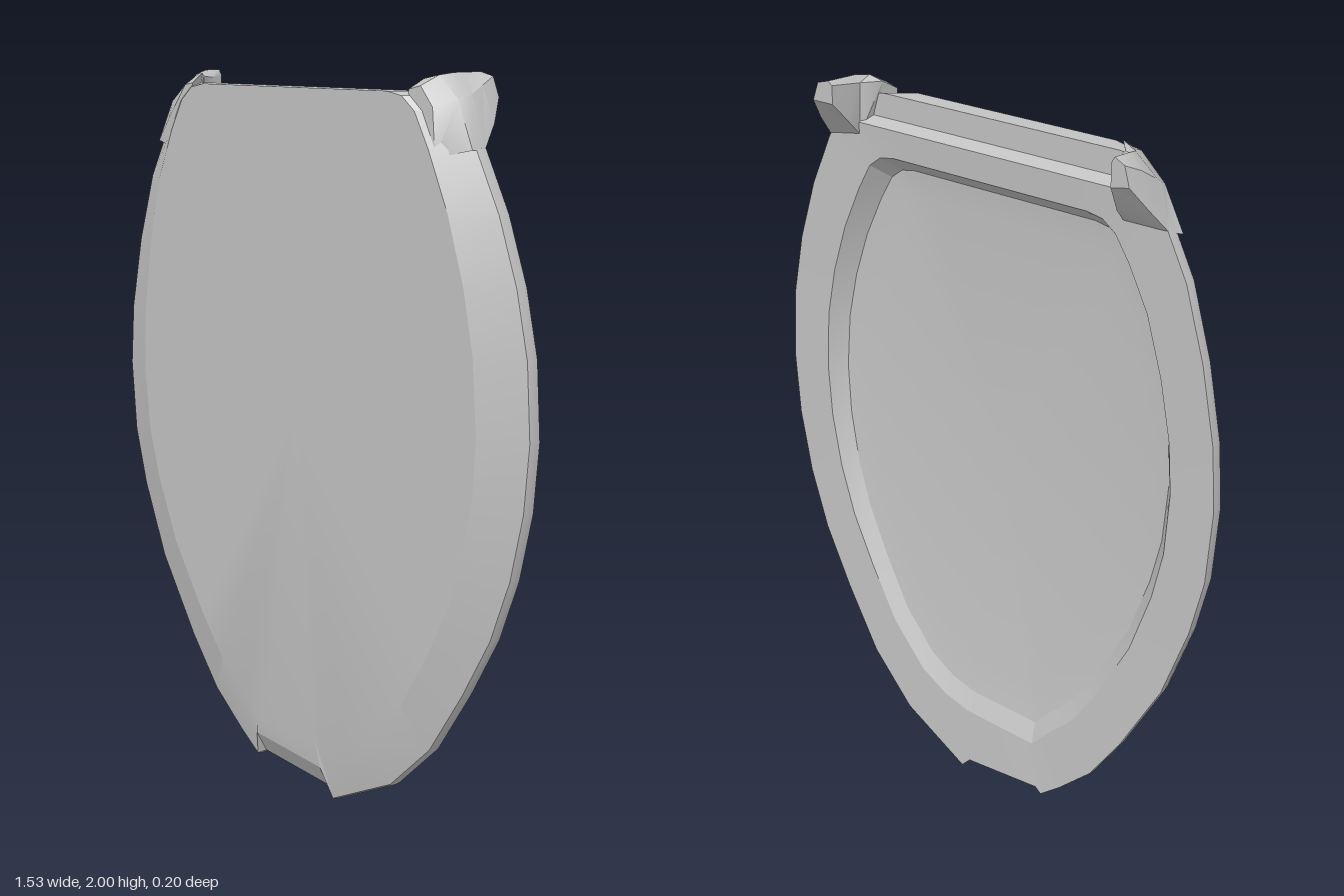
import * as THREE from 'three';
import { toCreasedNormals } from 'three/addons/utils/BufferGeometryUtils.js';

// Closed skin over loops of [x, y, z]; loops run clockwise seen from the front, front to back
function loft(loops, crease) {
  const pos = [];
  const tri = (a, b, c) => pos.push(...a, ...b, ...c);
  const n = loops[0].length;
  const centre = (l) => [0, 1, 2].map((k) => l.reduce((s, p) => s + p[k], 0) / n);
  const first = loops[0], last = loops[loops.length - 1];
  const c0 = centre(first), c1 = centre(last);
  for (let i = 0; i < n; i++) {
    const j = (i + 1) % n;
    tri(c0, first[j], first[i]);
    for (let k = 0; k + 1 < loops.length; k++) {
      const a = loops[k], b = loops[k + 1];
      tri(a[i], a[j], b[i]);
      tri(a[j], b[j], b[i]);
    }
    tri(c1, last[i], last[j]);
  }
  const g = new THREE.BufferGeometry();
  g.setAttribute('position', new THREE.Float32BufferAttribute(pos, 3));
  return toCreasedNormals(g, crease);
}

// Lid outline, clockwise from the top edge, with the broken notch at the bottom
const OUTLINE = [
  [0, 1.955], [0.3, 1.955], [0.41, 1.955], [0.47, 1.945], [0.52, 1.91], [0.575, 1.82],
  [0.65, 1.67], [0.71, 1.5], [0.748, 1.33], [0.762, 1.13], [0.748, 0.95], [0.71, 0.77],
  [0.65, 0.6], [0.56, 0.43], [0.45, 0.25], [0.31, 0.11], [0.2, 0.055], [0.09, 0],
  [0.06, 0.03], [-0.2, 0.06], [-0.22, 0.045], [-0.29, 0.1], [-0.4, 0.2], [-0.5, 0.34],
  [-0.63, 0.56], [-0.71, 0.77], [-0.75, 0.93], [-0.765, 1.13], [-0.752, 1.3], [-0.71, 1.5],
  [-0.65, 1.69], [-0.575, 1.83], [-0.52, 1.91], [-0.47, 1.945], [-0.41, 1.955], [-0.3, 1.955],
];
const NOTCH = [18, 19];
// The same outline with the notch smoothed over, for the front panel and back recess
const SMOOTH = OUTLINE.map(([x, y], i) => [x, i >= 17 && i <= 20 ? 0.03 : y]);
const MID = 1.13;
const frontZ = (y) => 0.055 + 0.022 * y;

// Outline shrunk about its middle by sx across, down below and up above; z is a rule of (y, original y)
function ring(outline, sx, down, up, z) {
  return outline.map(([x, y]) => {
    const py = MID + (y - MID) * (y < MID ? down : up);
    return [x * sx, py, z(py, y)];
  });
}
const cutTop = (loop, top) => loop.map(([x, y, z]) => [x, Math.min(y, top), z]);
// Upper edge of the notch, set back above its lower edge
const liftNotch = (loop, h, z) =>
  loop.map((p, i) => (NOTCH.includes(i) ? [p[0], p[1] + h, z] : p));

// Hinge lug sections: [z, five x/y corners]
const LUGS = {
  left: [
    [0.085, [0.40, 1.96], [0.44, 1.97], [0.48, 1.92], [0.49, 1.80], [0.41, 1.90]],
    [0.04, [0.41, 1.985], [0.46, 1.995], [0.52, 1.94], [0.57, 1.82], [0.46, 1.84]],
    [0, [0.455, 1.98], [0.47, 2], [0.53, 1.95], [0.575, 1.82], [0.46, 1.84]],
    [-0.05, [0.455, 1.985], [0.47, 2], [0.52, 1.97], [0.56, 1.88], [0.455, 1.89]],
    [-0.1, [0.455, 1.99], [0.47, 2], [0.51, 1.99], [0.53, 1.94], [0.455, 1.94]],
  ],
  right: [
    [0.085, [0.40, 1.955], [0.43, 1.95], [0.50, 1.86], [0.50, 1.78], [0.42, 1.85]],
    [0.04, [0.41, 1.98], [0.45, 1.965], [0.54, 1.90], [0.60, 1.79], [0.46, 1.80]],
    [0, [0.45, 1.97], [0.48, 1.975], [0.55, 1.92], [0.59, 1.80], [0.45, 1.80]],
    [-0.05, [0.47, 1.965], [0.50, 1.985], [0.54, 1.95], [0.565, 1.86], [0.47, 1.84]],
    [-0.1, [0.49, 1.97], [0.50, 1.985], [0.53, 1.97], [0.545, 1.92], [0.49, 1.91]],
  ],
};

export function createModel() {
  const group = new THREE.Group();
  const grey = new THREE.MeshStandardMaterial({ color: 0xc2c2c2 });
  grey.name = 'plain grey';
  const add = (name, geometry) => {
    const mesh = new THREE.Mesh(geometry, grey);
    mesh.name = name;
    group.add(mesh);
  };

  // Lid: front panel, straight bevel, stepped top edge, back rim and dished back
  const stepZ = (z) => (y, y0) => (y0 > 1.93 ? 0.035 : z);
  add('lid', loft([
    ring(SMOOTH, 0.83, 0.87, 1, frontZ),
    liftNotch(ring(OUTLINE, 0.995, 0.995, 1, stepZ(0.028)), 0.06, 0.05),
    cutTop(ring(OUTLINE, 1, 1, 1, stepZ(0.012)), 1.89),
    cutTop(ring(OUTLINE, 1, 1, 1, () => -0.005), 1.875),
    ring(SMOOTH, 0.82, 0.85, 0.81, () => 0),
    ring(SMOOTH, 0.77, 0.8, 0.76, (y) => frontZ(y) - 0.036),
    ring(SMOOTH, 0.68, 0.72, 0.67, (y) => frontZ(y) - 0.026),
  ], 0.25));

  // Hinge lugs at the top corners
  for (const [side, s] of [['left', 1], ['right', -1]]) {
    const loops = LUGS[side].map(([z, ...pts]) => {
      const loop = pts.map(([x, y]) => [s * x, y, z]);
      return s > 0 ? loop : loop.reverse();
    });
    add(side + 'HingeLug', loft(loops, 0.6));
  }
  return group;
}
